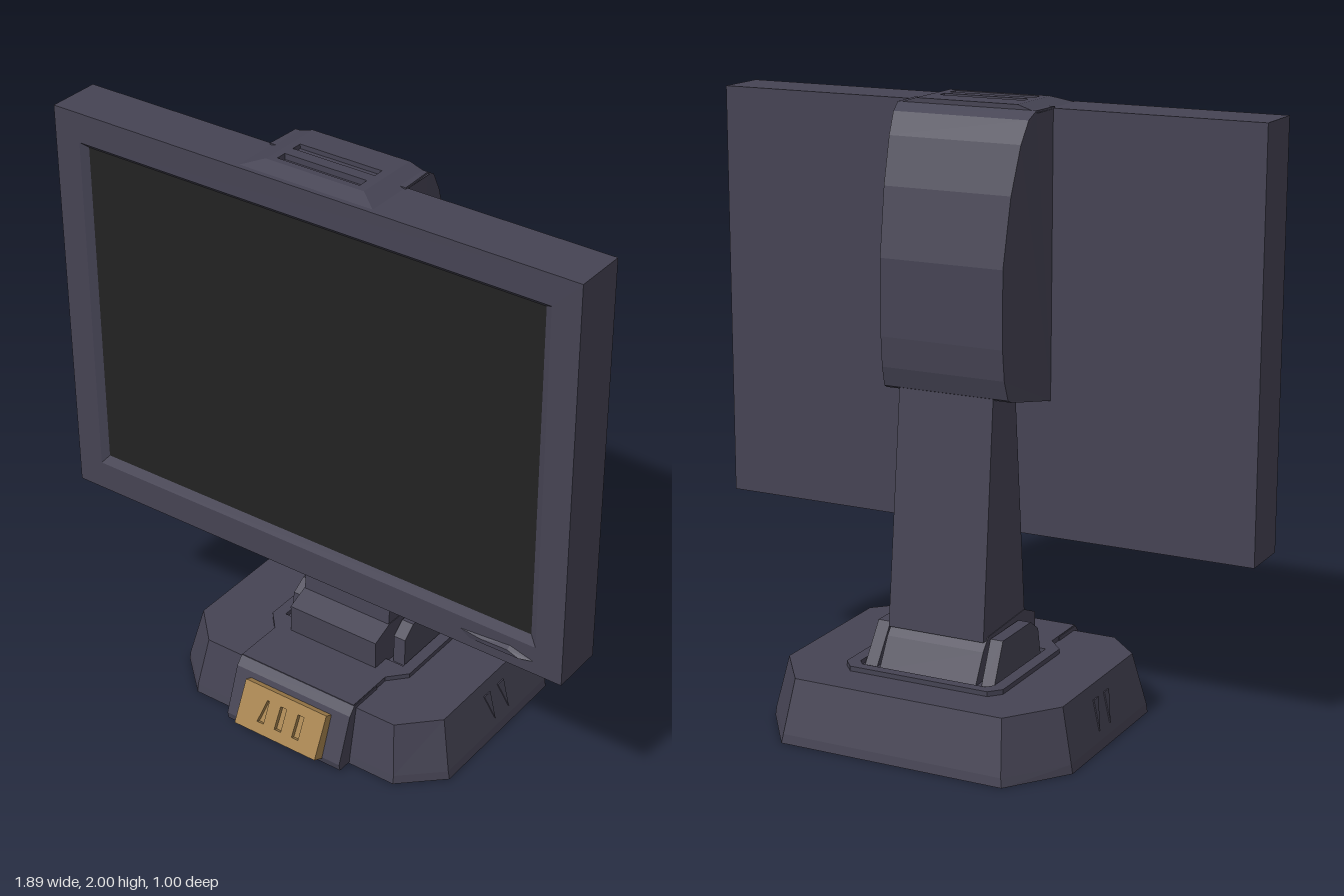
import * as THREE from 'three';

const body = new THREE.MeshStandardMaterial({ name: 'charcoal plastic', color: 0x454353 });
const dark = new THREE.MeshStandardMaterial({ name: 'black glass', color: 0x222222 });
const gold = new THREE.MeshStandardMaterial({ name: 'brass', color: 0xa6834e });

// Joins matching rings of points into a flat-shaded shell, with optional end caps
function loft(rings, capStart = true, capEnd = true) {
  const pos = [], n = rings[0].length;
  const tri = (...pts) => pts.forEach(p => pos.push(...p));
  for (let r = 0; r < rings.length - 1; r++) {
    const a = rings[r], b = rings[r + 1];
    for (let i = 0; i < n; i++) {
      const j = (i + 1) % n;
      tri(a[i], a[j], b[j]);
      tri(a[i], b[j], b[i]);
    }
  }
  const first = rings[0], last = rings[rings.length - 1];
  for (let i = 1; i < n - 1; i++) {
    if (capStart) tri(first[0], first[i + 1], first[i]);
    if (capEnd) tri(last[0], last[i], last[i + 1]);
  }
  const g = new THREE.BufferGeometry();
  g.setAttribute('position', new THREE.Float32BufferAttribute(pos, 3));
  g.computeVertexNormals();
  return g;
}

// Upright rectangle facing +z, and level rectangle facing +y
const rectXY = (w, y0, y1, z) => [[w, y0, z], [w, y1, z], [-w, y1, z], [-w, y0, z]];
const rectXZ = (w, z0, z1, y) => [[w, y, z1], [w, y, z0], [-w, y, z0], [-w, y, z1]];

const shape = pts => new THREE.Shape(pts.map(p => new THREE.Vector2(...p)));
const extrude = (s, depth) => new THREE.ExtrudeGeometry(s, { depth, bevelEnabled: false });

// Side profile of [z, y] points, extruded across x
function prism(profile, halfWidth) {
  const g = extrude(shape(profile), halfWidth * 2);
  return g.translate(0, 0, -halfWidth).rotateY(-Math.PI / 2);
}

// Plan outline of [x, z] points with holes, extruded upwards from y
function slab(outline, holes, y, h) {
  const flip = pts => pts.map(([x, z]) => [x, -z]);
  const s = shape(flip(outline));
  holes.forEach(q => s.holes.push(shape(flip(q))));
  return extrude(s, h).rotateX(-Math.PI / 2).translate(0, y, 0);
}

// Moves every vertex by a rule and restores flat normals
function reshape(g, rule) {
  const p = g.attributes.position, v = new THREE.Vector3();
  for (let i = 0; i < p.count; i++) {
    v.fromBufferAttribute(p, i);
    rule(v);
    p.setXYZ(i, v.x, v.y, v.z);
  }
  g.computeVertexNormals();
  return g;
}

export function createModel() {
  const model = new THREE.Group();
  const add = (name, geometry, material = body) => {
    const m = new THREE.Mesh(geometry, material);
    m.name = name;
    model.add(m);
    return m;
  };

  // Display: casing with bevelled opening, recessed screen, small control lip
  add('displayCasing', loft([
    rectXY(0.945, 0.6, 1.98, 0.13), rectXY(0.945, 0.6, 1.98, 0.312),
    rectXY(0.85, 0.7, 1.88, 0.312), rectXY(0.825, 0.73, 1.865, 0.297),
  ], true, false));
  add('screen', new THREE.PlaneGeometry(1.65, 1.135).translate(0, 1.2975, 0.297), dark);
  add('controlLip', loft([
    [[0.85, 0.645, 0.31], [0.76, 0.67, 0.31], [0.56, 0.655, 0.31], [0.6, 0.63, 0.31]],
    [[0.8, 0.645, 0.326], [0.76, 0.66, 0.326], [0.66, 0.652, 0.32], [0.68, 0.638, 0.32]],
  ]));

  // Rear housing: curved back that narrows away from the display
  const housing = prism([
    [0.14, 1.05], [0.14, 1.985], [0.02, 1.985], [-0.02, 1.96], [-0.06, 1.89], [-0.11, 1.74],
    [-0.15, 1.52], [-0.15, 1.27], [-0.14, 1.17], [-0.12, 1.105], [-0.1, 1.095],
  ], 0.245);
  add('rearHousing', reshape(housing, v => {
    v.x *= 1 - 0.13 * THREE.MathUtils.clamp((0.05 - v.z) / 0.2, 0, 1);
  }));

  // Vented cap over the top edge
  const vent = z => [[-0.15, z - 0.018], [0.145, z - 0.018], [0.145, z + 0.018], [-0.15, z + 0.018]];
  const cap = slab([[-0.245, 0.3], [0.245, 0.3], [0.245, 0.02], [-0.245, 0.02]],
    [vent(0.135), vent(0.21)], 1.978, 0.022);
  add('ventedCap', reshape(cap, v => {
    if (v.y < 1.99) return;
    if (Math.abs(v.x) > 0.2) v.x *= 0.72;
    if (v.z > 0.25) v.z -= 0.05;
  }));

  // Neck and its foot
  add('neck', loft([rectXZ(0.17, -0.19, 0.105, 0.33), rectXZ(0.165, -0.115, 0.035, 1.13)]));
  add('neckFoot', prism([
    [0.18, 0.2], [0.18, 0.32], [0.1, 0.352], [-0.16, 0.34], [-0.195, 0.3], [-0.25, 0.2],
  ], 0.172));
  for (const s of [-1, 1]) {
    const fin = prism([[0.1, 0.2], [0.09, 0.3], [0.04, 0.335], [-0.16, 0.335], [-0.24, 0.2]], 0.022);
    reshape(fin, v => { v.x += s * (0.21 - 0.06 * (v.y - 0.2)); });
    add(s > 0 ? 'leftFin' : 'rightFin', fin);
  }

  // Base: eight-sided block with sloping walls
  const octagon = (w, front, back, wf, wb, zf, zb, y) => [
    [wf, y, front], [w, y, zf], [w, y, zb], [wb, y, back],
    [-wb, y, back], [-w, y, zb], [-w, y, zf], [-wf, y, front],
  ];
  add('base', loft([
    octagon(0.535, 0.405, -0.5, 0.4, 0.39, 0.28, -0.3, 0),
    octagon(0.53, 0.4, -0.495, 0.4, 0.385, 0.28, -0.3, 0.03),
    octagon(0.49, 0.365, -0.45, 0.375, 0.365, 0.25, -0.28, 0.205),
  ]));

  // Raised surround on the base, open around the neck foot
  add('baseSurround', slab([
    [-0.225, 0.375], [0.225, 0.375], [0.225, 0.2], [0.28, 0.14], [0.28, -0.27], [0.245, -0.31],
    [-0.245, -0.31], [-0.28, -0.27], [-0.28, 0.14], [-0.225, 0.2],
  ], [[[-0.24, 0.12], [0.24, 0.12], [0.24, -0.25], [0.22, -0.275], [-0.22, -0.275], [-0.24, -0.25]]],
  0.195, 0.026));

  // Sloped front block carrying the badge plate
  add('frontBlock', prism([
    [0.25, 0.005], [0.455, 0.005], [0.46, 0.03], [0.4, 0.19], [0.375, 0.218], [0.25, 0.218],
  ], 0.228));

  // Brass plate with three recessed slots
  const face = shape([[-0.165, -0.077], [0.16, -0.077], [0.16, 0.077], [-0.165, 0.077]]);
  [[-0.07, 0.004], [0, 0.012], [0.07, 0.012]].forEach(([x, top]) => {
    face.holes.push(shape([
      [x - 0.014, -0.04], [x + 0.012, -0.04], [x + 0.012, 0.04], [x + 0.012 - top * 2, 0.04],
    ]));
  });
  const plate = new THREE.Group();
  plate.name = 'brassPlate';
  const front = new THREE.Mesh(extrude(face, 0.015).translate(0, 0, -0.015), gold);
  front.name = 'slottedFace';
  const backing = new THREE.Mesh(new THREE.BoxGeometry(0.325, 0.154, 0.04), gold);
  backing.name = 'plateBacking';
  backing.position.set(-0.0025, 0, -0.035);
  plate.add(front, backing);
  plate.position.set(0, 0.115, 0.468);
  plate.rotation.x = -0.45;
  model.add(plate);

  // Wedge-shaped marks on both side walls of the base
  for (const s of [-1, 1]) {
    for (const z of [0.015, -0.065]) {
      const mark = prism([[z + 0.02, 0.16], [z - 0.015, 0.16], [z - 0.015, 0.06]], 0.004);
      reshape(mark, v => { v.x += s * (0.53 - 0.2286 * (v.y - 0.03)); });
      add(s > 0 ? 'leftSideMark' : 'rightSideMark', mark);
    }
  }
  return model;
}
